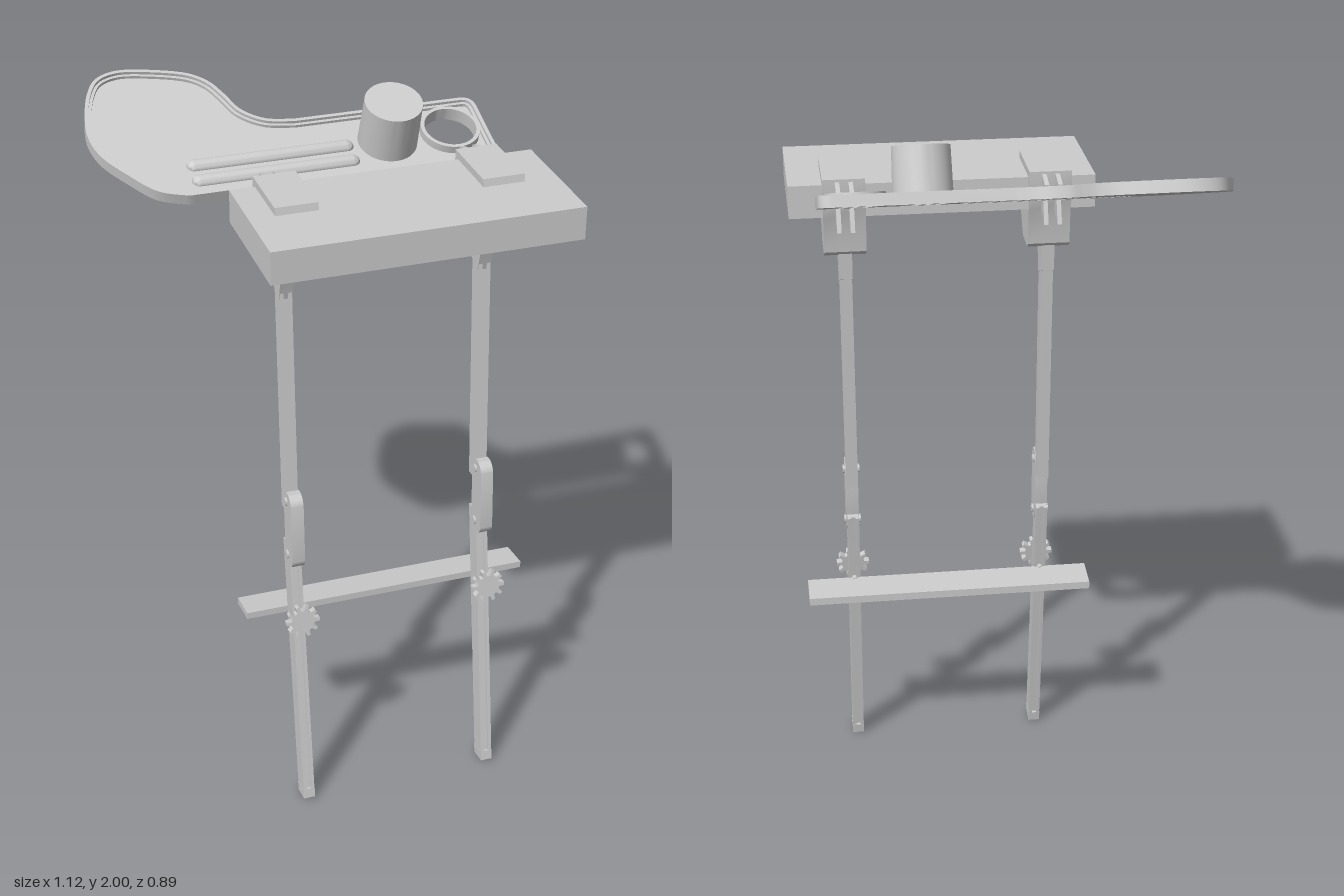
import * as THREE from 'three';
import { toCreasedNormals } from 'three/addons/utils/BufferGeometryUtils.js';

const grey = new THREE.MeshStandardMaterial({ color: 0xcccccc });

function add(parent, name, geometry, x = 0, y = 0, z = 0) {
  const mesh = new THREE.Mesh(toCreasedNormals(geometry, 0.6), grey);
  mesh.name = name;
  mesh.position.set(x, y, z);
  parent.add(mesh);
  return mesh;
}

const toVectors = (pts) => pts.map(([a, b]) => new THREE.Vector2(a, b));
const extrude = (shape, depth) =>
  new THREE.ExtrudeGeometry(shape, { depth, bevelEnabled: false, curveSegments: 20 });

// Side profile given as [z, y] points, extruded across x and centred on x = 0
function sideProfile(pts, width) {
  return extrude(new THREE.Shape(toVectors(pts)), width)
    .translate(0, 0, -width / 2).rotateY(-Math.PI / 2);
}

// Flat plate lying in xz; the shape's y runs towards -z
function plate(outline, holes, h0, h1) {
  const shape = new THREE.Shape(outline);
  shape.holes = holes.map((p) => new THREE.Path(p));
  return extrude(shape, h1 - h0).rotateX(-Math.PI / 2).translate(0, h0, 0);
}

function inset(pts, d) {
  const n = pts.length;
  return pts.map((p, i) => {
    const t = pts[(i + 1) % n].clone().sub(pts[(i + n - 1) % n]).normalize();
    return new THREE.Vector2(p.x - t.y * d, p.y + t.x * d);
  });
}

// Rounded slot outline with centre line from (x0, y) to (x1, y)
function slot(x0, x1, y, r) {
  const path = new THREE.Path();
  path.absarc(x1, y, r, -Math.PI / 2, Math.PI / 2);
  path.absarc(x0, y, r, Math.PI / 2, Math.PI * 1.5);
  return path.getPoints(16);
}

function ring(rOut, rIn, h0, h1) {
  return new THREE.LatheGeometry(
    toVectors([[rIn, h0], [rOut, h0], [rOut, h1], [rIn, h1], [rIn, h0]]), 48);
}

function trayOutline() {
  const v = (z) => (0.04 - z) / 0.968;
  const lobe = [[-0.087, -0.2], [-0.142, -0.245], [-0.169, -0.309], [-0.199, -0.366],
    [-0.253, -0.408], [-0.358, -0.438], [-0.434, -0.446], [-0.494, -0.423], [-0.53, -0.366],
    [-0.554, -0.285], [-0.563, -0.21], [-0.545, -0.134], [-0.494, -0.059], [-0.434, 0.01],
    [-0.358, 0.04]];
  const s = new THREE.Shape();
  s.moveTo(-0.34, 0);
  s.lineTo(0.461, 0);
  s.quadraticCurveTo(0.491, 0, 0.491, 0.03);
  s.lineTo(0.491, v(-0.145));
  s.quadraticCurveTo(0.491, v(-0.185), 0.455, v(-0.185));
  s.lineTo(-0.012, v(-0.185));
  s.splineThru(toVectors(lobe.map(([x, z]) => [x, v(z)])));
  const pts = s.getPoints(5);
  return pts.filter((p, i) => p.distanceTo(pts[(i + 1) % pts.length]) > 1e-4);
}

function buildTray() {
  const tray = new THREE.Group();
  tray.name = 'tray';
  tray.position.set(0, 1.795, 0.03);
  tray.rotation.x = 0.332;

  const edge = trayOutline(), step = inset(edge, 0.01), floor = inset(edge, 0.018);
  const cupV = 0.12, cupX = 0.215, holderX = 0.39;
  const ridges = [0.063, 0.12];
  const holes = [
    slot(cupX, cupX, cupV, 0.072), slot(holderX, holderX, cupV, 0.07),
    ...ridges.map((y) => slot(-0.315, 0.1, y, 0.019)),
  ];
  add(tray, 'trayRim', plate(edge, [step], 0, 0.032));
  add(tray, 'trayRimStep', plate(step, [floor], 0, 0.024));
  add(tray, 'trayFloor', plate(floor, holes, 0, 0.016));

  // Cup closed at the top and hollow underneath
  add(tray, 'cup', new THREE.LatheGeometry(toVectors([[0, 0.143], [0.068, 0.143], [0.071, 0],
    [0.08, 0], [0.077, 0.152], [0, 0.152]]), 48), cupX, 0, -cupV);
  add(tray, 'holderRing', ring(0.08, 0.07, 0, 0.038), holderX, 0, -cupV);

  // Long rounded ridges, recessed underneath
  for (const y of ridges) {
    const g = new THREE.CapsuleGeometry(0.02, 0.415, 8, 20).rotateZ(Math.PI / 2);
    const p = g.attributes.position;
    for (let i = 0; i < p.count; i++) p.setY(i, Math.max(p.getY(i), -0.005));
    add(tray, 'ridge', g, -0.1075, 0.012, -y);
  }
  return tray;
}

// Grooved beam between two [z, y] points, with side rails and a thinner web
function beam(name, bottom, top, depth) {
  const g = new THREE.Group();
  g.name = name;
  const dz = top[0] - bottom[0], dy = top[1] - bottom[1], len = Math.hypot(dz, dy);
  g.position.set(0, (top[1] + bottom[1]) / 2, (top[0] + bottom[0]) / 2);
  g.rotation.x = Math.atan2(dz, dy);
  for (const s of [-1, 1]) add(g, 'rail', new THREE.BoxGeometry(0.01, len, depth), s * 0.0115);
  add(g, 'web', new THREE.BoxGeometry(0.014, len, depth * 0.7));
  return g;
}

function buildKnob() {
  const knob = new THREE.Group();
  knob.name = 'knob';
  const teeth = 10, pts = [];
  for (let i = 0; i < teeth; i++) {
    for (const [f, r] of [[-0.3, 0.033], [-0.16, 0.048], [0.16, 0.048], [0.3, 0.033]]) {
      const a = (i + f) / teeth * Math.PI * 2;
      pts.push([r * Math.cos(a), r * Math.sin(a)]);
    }
  }
  add(knob, 'knobWheel', extrude(new THREE.Shape(toVectors(pts)), 0.02), 0, 0, -0.01);
  add(knob, 'knobBolt', new THREE.CylinderGeometry(0.01, 0.01, 0.1, 16).rotateX(Math.PI / 2), 0, 0, -0.045);
  knob.position.set(0, 0.607, 0.287);
  knob.rotation.x = -0.16;
  return knob;
}

function buildLeg(x) {
  const leg = new THREE.Group();
  leg.name = 'leg';
  leg.position.x = x;

  // Clamp gripping the table top, with its wedge below
  add(leg, 'clamp', sideProfile([[0.26, 1.843], [0.255, 1.865], [0.06, 1.865], [0.06, 1.79],
    [0.075, 1.75], [0.085, 1.655], [0.1, 1.642], [0.185, 1.648], [0.262, 1.757], [0.08, 1.757],
    [0.08, 1.843]], 0.114));
  for (const s of [-1, 1]) {
    add(leg, 'hingeTab', sideProfile([[0.075, 1.86], [0.04, 1.855], [0.005, 1.845], [0.005, 1.825],
      [0.035, 1.8], [0.01, 1.733], [0.075, 1.757]], 0.012), s * 0.018);
  }
  add(leg, 'socket', sideProfile([[0.182, 1.65], [0.096, 1.65], [0.102, 1.57], [0.152, 1.55],
    [0.165, 1.6]], 0.036));

  leg.add(beam('upperLeg', [0.177, 0.915], [0.131, 1.6], 0.048));
  leg.add(beam('lowerLeg', [0.321, 0.009], [0.19, 0.815], 0.053));
  const foot = add(leg, 'foot', new THREE.BoxGeometry(0.034, 0.03, 0.054), 0, 0.019, 0.3195);
  foot.rotation.x = -0.16;

  // Rounded link joining both beams
  const link = new THREE.Group();
  link.name = 'kneeLink';
  link.position.set(0, 0.87, 0.217);
  link.rotation.x = -0.07;
  const outline = slot(-0.081, 0.081, 0, 0.034).map((p) => [p.y, p.x]);
  add(link, 'linkPlate', sideProfile(outline, 0.036));
  for (const y of [-0.081, 0.086]) {
    add(link, 'linkBolt', new THREE.CylinderGeometry(0.012, 0.012, 0.048, 16).rotateZ(Math.PI / 2), 0, y, -0.008);
  }
  leg.add(link, buildKnob());
  return leg;
}

export function createModel() {
  const model = new THREE.Group();
  model.name = 'foldingTableWithTray';
  add(model, 'tableTop', new THREE.BoxGeometry(0.825, 0.09, 0.365), 0.1475, 1.8, 0.2625);
  model.add(buildTray(), buildLeg(-0.14), buildLeg(0.412));
  add(model, 'crossbar', sideProfile([[0.2, 0.6], [0.105, 0.588], [0.105, 0.566], [0.2, 0.58]], 0.825), 0.1375);
  return model;
}
